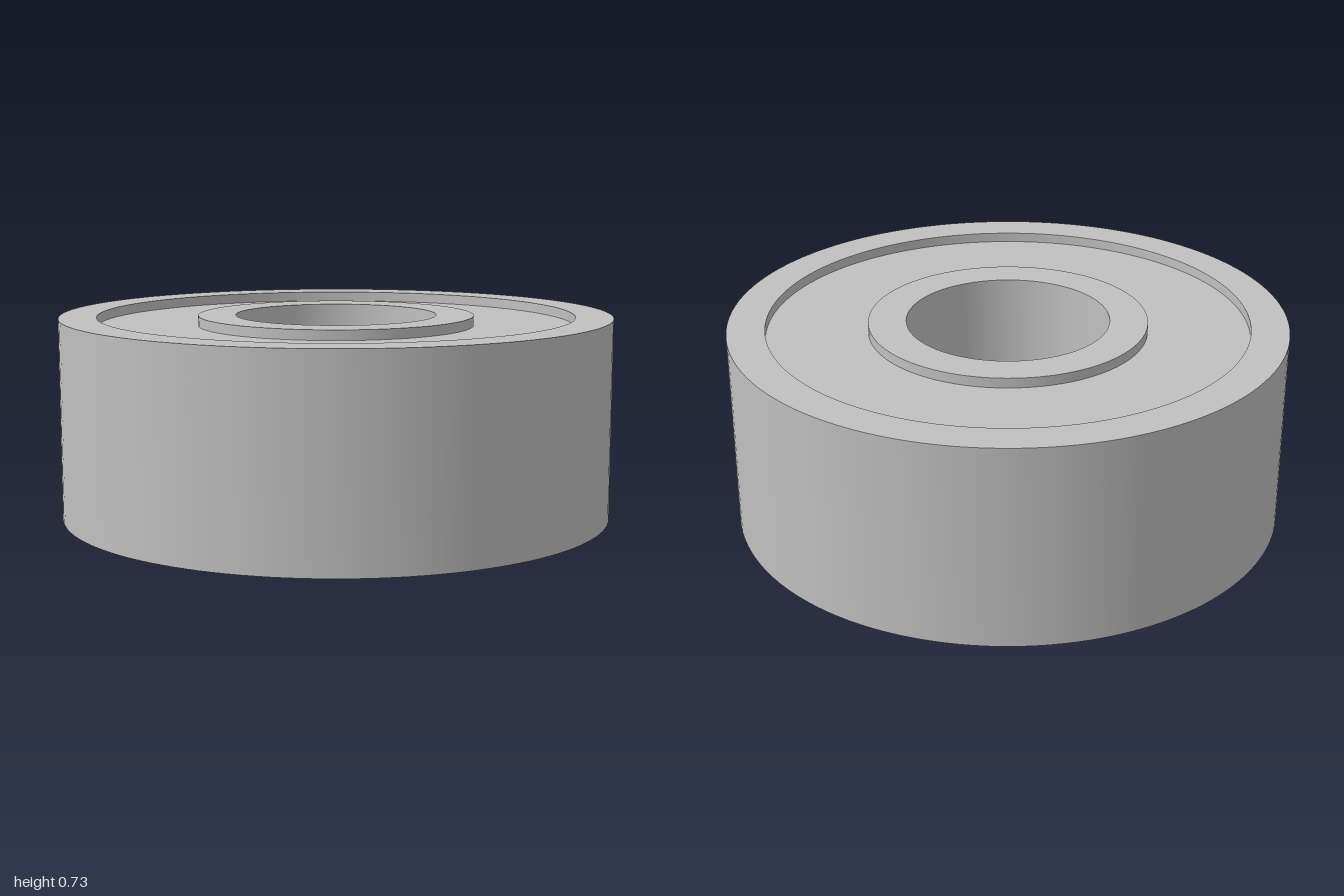
import * as THREE from 'three';
import { toCreasedNormals } from 'three/addons/utils/BufferGeometryUtils.js';

const HEIGHT = 0.727;
const RECESS = 0.036;
const SEGMENTS = 128;

// Solid ring with a rectangular cross-section and sharp rims
function ring(name, inner, outer, bottom, top, material) {
  const profile = [
    [inner, bottom], [outer, bottom], [outer, top], [inner, top], [inner, bottom],
  ].map(([r, y]) => new THREE.Vector2(r, y));
  const geometry = toCreasedNormals(new THREE.LatheGeometry(profile, SEGMENTS), Math.PI / 6);
  const mesh = new THREE.Mesh(geometry, material);
  mesh.name = name;
  return mesh;
}

export function createModel() {
  const steel = new THREE.MeshStandardMaterial({ color: 0xc0c0c0 });
  steel.name = 'steel grey';

  const bearing = new THREE.Group();
  bearing.name = 'ballBearing';
  bearing.add(
    // Outer and inner races run the full height
    ring('outerRace', 0.864, 1, 0, HEIGHT, steel),
    ring('innerRace', 0.364, 0.5, 0, HEIGHT, steel),
    // Shield between the races, recessed on both faces
    ring('shield', 0.5, 0.864, RECESS, HEIGHT - RECESS, steel),
  );
  return bearing;
}
